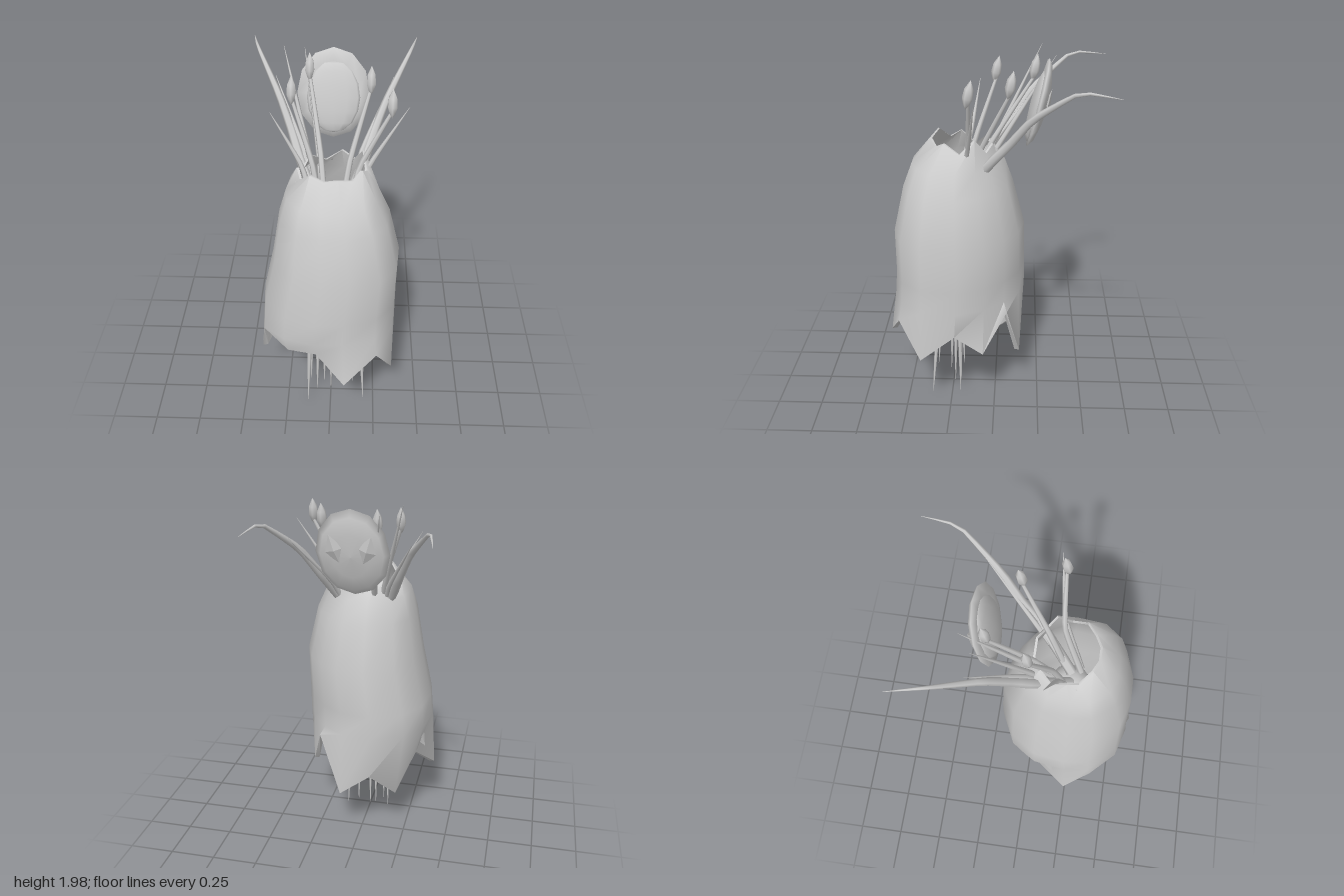
import * as THREE from 'three';
import { toCreasedNormals } from 'three/addons/utils/BufferGeometryUtils.js';

const shellGrey = new THREE.MeshStandardMaterial({ color: 0xcccccc, side: THREE.DoubleSide });
shellGrey.name = 'shellGrey';

const V = (p) => new THREE.Vector3(...p);

function part(name, geometry, parent) {
  const mesh = new THREE.Mesh(geometry, shellGrey);
  mesh.name = name;
  parent.add(mesh);
  return mesh;
}

// Tube along a gently kinked path whose radius shrinks to endRatio at the tip
function taperedTube(points, radius, endRatio, sides = 6, segments = 12) {
  const curve = new THREE.CatmullRomCurve3(points.map(V), false, 'catmullrom', 0.2);
  const geo = new THREE.TubeGeometry(curve, segments, radius, sides);
  const pos = geo.attributes.position;
  const v = new THREE.Vector3();
  for (let i = 0; i <= segments; i++) {
    const t = i / segments;
    const c = curve.getPointAt(t);
    const k = 1 + (endRatio - 1) * t * t;
    for (let j = 0; j <= sides; j++) {
      const n = i * (sides + 1) + j;
      v.fromBufferAttribute(pos, n).sub(c).multiplyScalar(k).add(c);
      pos.setXYZ(n, v.x, v.y, v.z);
    }
  }
  return geo;
}

// Thick bell shell: full at the front corners, lean at the back, with a torn hem
function bellGeometry() {
  const hem = [
    [0.08, 0.41, 0.59], [0.25, 0.57, 0.52], [0.34, 0.37, 0.40], [0.35, 0.53, 0.21],
    [0.30, 0.39, 0.06], [0.23, 0.62, -0.07], [0.10, 0.29, -0.14], [-0.07, 0.42, -0.14],
    [-0.20, 0.26, -0.02], [-0.30, 0.49, 0.08], [-0.39, 0.35, 0.24], [-0.355, 0.62, 0.38],
    [-0.22, 0.58, 0.50], [-0.07, 0.58, 0.53],
  ];
  // y, centre x, centre z, radius x, radius z
  const rings = [
    [1.52, 0.005, 0.17, 0.175, 0.17], [1.42, 0.01, 0.19, 0.23, 0.24],
    [1.3, 0.02, 0.19, 0.275, 0.285], [1.05, 0.03, 0.185, 0.325, 0.345],
    [0.8, 0.0, 0.185, 0.35, 0.35], [0.67, -0.005, 0.19, 0.355, 0.355],
  ];
  const rimLift = [0.03, 0.01, 0.04, -0.01, 0.06, -0.02, 0.01, -0.05, 0.0, -0.06, 0.01, -0.02, 0.04, 0.02];
  const outer = rings.map(([y, cx, cz, rx, rz], r) => hem.map(([x, , z], j) => {
    const a = Math.atan2(x, z - 0.2);
    const corner = Math.cos(a) > 0 ? 0.12 : x < 0 ? 0.03 : -0.1;
    const k = r === 0 ? 1 : 1 + corner * Math.abs(Math.sin(2 * a));
    return [cx + Math.sin(a) * rx * k, y + (r === 0 ? rimLift[j] : 0), cz + Math.cos(a) * rz * k];
  }));
  outer.push(hem);
  // Inner wall, running back up from the hem to the rim
  const inner = outer.map((row, r) => row.map(([x, y, z]) => {
    const k = 1 - (r === 0 ? 0.012 : 0.028) / Math.hypot(x, z - 0.19);
    return [x * k, y, 0.19 + (z - 0.19) * k];
  })).reverse();
  const rows = [...outer, ...inner];
  const index = [], n = hem.length;
  for (let r = 0; r < rows.length; r++) {
    const next = (r + 1) % rows.length;
    for (let j = 0; j < n; j++) {
      const k = (j + 1) % n;
      const tl = r * n + j, tr = r * n + k, bl = next * n + j, br = next * n + k;
      index.push(tl, bl, tr, tr, bl, br);
    }
  }
  const geo = new THREE.BufferGeometry();
  geo.setAttribute('position', new THREE.Float32BufferAttribute(rows.flat(2), 3));
  geo.setIndex(index);
  return toCreasedNormals(geo, 1.0);
}

// Path from inside the bell, out through the rim, to a tip
function stemPath([x, y, z]) {
  const front = z > 0.05;
  const base = [x * 0.2, 1.15, front ? 0.25 : 0.19];
  const mid = [x * 0.48, 1.5, front ? 0.14 : 0.2 + (z - 0.2) * 0.45];
  return [base, mid, [x, y, z]];
}

export function createModel() {
  const model = new THREE.Group();
  model.name = 'bellCreature';

  part('bellShell', bellGeometry(), model);

  // Inner bulb that the stems and trailing threads grow from
  const bulb = part('innerBulb', new THREE.SphereGeometry(1, 10, 8), model);
  bulb.scale.set(0.135, 0.14, 0.13);
  bulb.position.set(0.005, 1.0, 0.2);

  // Trailing threads below the bell: tip x, y, z
  const threads = [
    [-0.13, 0.02, 0.355], [0.19, 0.05, 0.355], [-0.08, 0.03, 0.27], [-0.04, 0.03, 0.215],
    [0.065, 0.04, 0.2], [0.13, 0.02, 0.2], [-0.12, 0.03, 0.195], [0, 0, 0.24],
  ];
  for (const [x, y, z] of threads) {
    const top = [x * 0.6, 0.95, 0.2 + (z - 0.2) * 0.4];
    const mid = [x * 0.88, 0.5, 0.19 + (z - 0.19) * 0.75];
    part('trailingThread', taperedTube([top, mid, [x, y, z]], 0.02, 0.06, 5, 8), model);
  }

  // Stems carrying buds: bud centre x, y, z
  const budProfile = [[0, -0.07], [0.014, -0.05], [0.026, -0.015], [0.022, 0.03], [0, 0.075]]
    .map(([r, y]) => new THREE.Vector2(r, y));
  const buds = [[-0.2, 1.85, 0], [-0.12, 1.88, -0.2], [0.19, 1.87, -0.08], [0.29, 1.85, 0.12]];
  for (const [x, y, z] of buds) {
    part('budStem', taperedTube(stemPath([x, y - 0.04, z]), 0.017, 0.5), model);
    const bud = part('bud', new THREE.LatheGeometry(budProfile, 6), model);
    bud.position.set(x, y, z);
    bud.rotation.x = -0.2;
  }

  // Bare pointed spikes: tip x, y, z
  const spikes = [
    [-0.15, 1.94, -0.31], [-0.25, 1.98, -0.24], [-0.3, 1.78, 0.09],
    [0.375, 1.82, 0.09], [-0.3, 1.8, -0.27], [0.31, 1.8, -0.27],
  ];
  for (const tip of spikes) part('spike', taperedTube(stemPath(tip), 0.018, 0.05), model);

  // Pair of long arms sweeping up and back
  for (const s of [-1, 1]) {
    const path = [
      [s * 0.03, 1.2, 0.2], [s * 0.16, 1.46, 0.02], [s * 0.21, 1.58, -0.08],
      [s * 0.28, 1.73, -0.19], [s * 0.4, 1.895, -0.4], [s * 0.44, 1.88, -0.59],
    ];
    part('longArm', taperedTube(path, 0.028, 0.04, 6, 16), model);
  }

  // Tilted oval head with a domed front and two eyes on its back
  const head = new THREE.Group();
  head.name = 'head';
  head.position.set(0, 1.73, -0.22);
  head.rotation.x = -0.24;
  model.add(head);
  const plateProfile = [[0, -0.045], [0.5, -0.038], [0.85, -0.018], [1, 0.005], [0.72, 0.012], [0, 0.012]]
    .map(([r, y]) => new THREE.Vector2(r, y));
  const plate = part('headPlate', new THREE.LatheGeometry(plateProfile, 12), head);
  plate.rotation.x = Math.PI / 2;
  plate.scale.set(0.188, 1, 0.235);
  const dome = part('headDome', new THREE.SphereGeometry(1, 12, 8), head);
  dome.scale.set(0.145, 0.19, 0.035);
  dome.position.set(0, -0.02, 0.005);
  for (const s of [-1, 1]) {
    const eye = part('eye', new THREE.OctahedronGeometry(1), head);
    eye.scale.set(0.048, 0.085, 0.014);
    eye.position.set(s * 0.08, 0.035, -0.038);
    eye.rotation.z = -s * 0.3;
  }
  return model;
}
